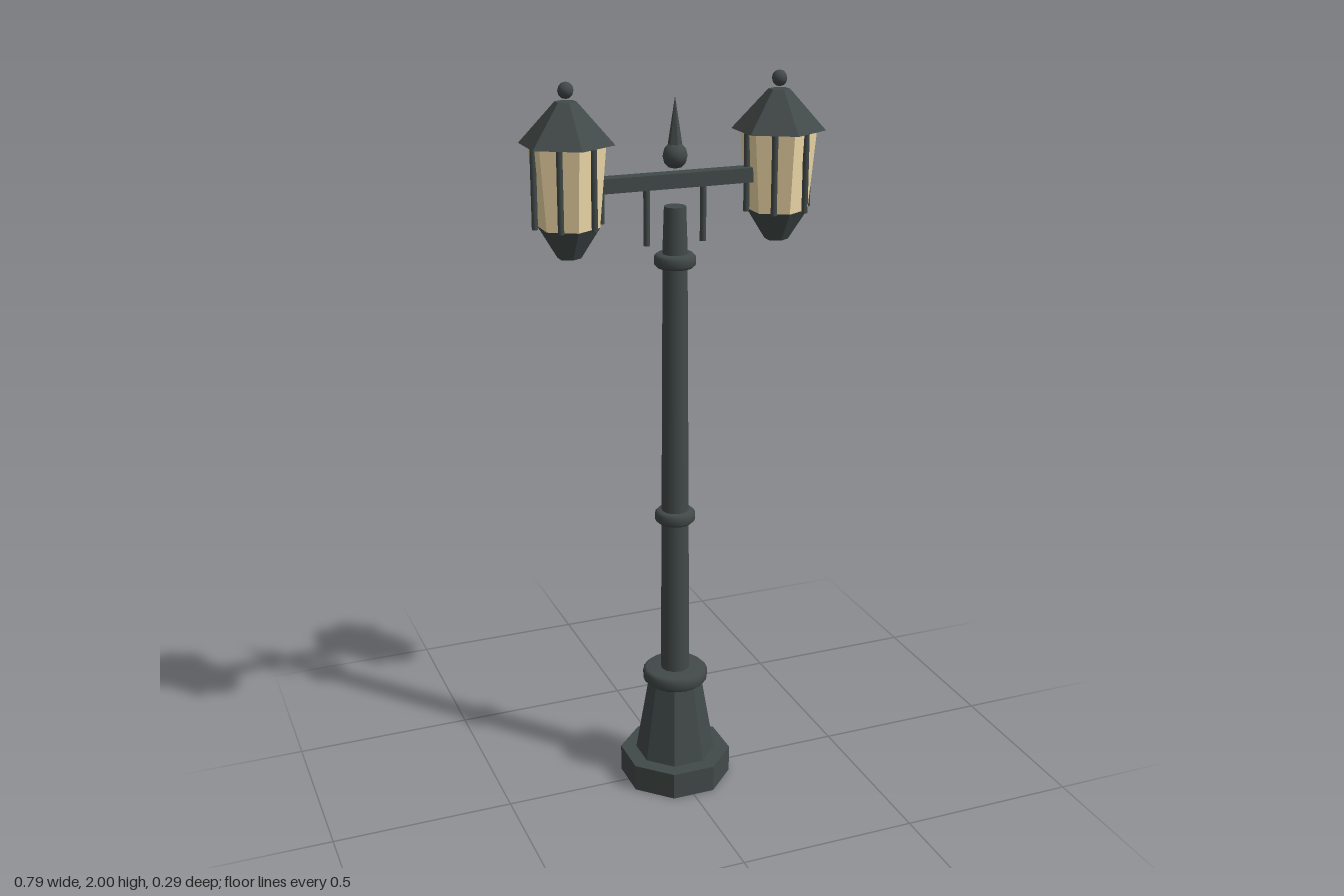
import * as THREE from 'three';

const iron = new THREE.MeshStandardMaterial({ color: 0x424a49 });
const ironFlat = new THREE.MeshStandardMaterial({ color: 0x424a49, flatShading: true });
const glass = new THREE.MeshStandardMaterial({ color: 0xf0d9a8, flatShading: true });

function add(parent, name, geometry, material, x = 0, y = 0, z = 0) {
  const mesh = new THREE.Mesh(geometry, material);
  mesh.name = name;
  mesh.position.set(x, y, z);
  parent.add(mesh);
  return mesh;
}

// Tapered prism or cone standing between two heights
function taper(parent, name, rBottom, rTop, y0, y1, sides, material) {
  const geometry = new THREE.CylinderGeometry(rTop, rBottom, y1 - y0, sides);
  return add(parent, name, geometry, material, 0, (y0 + y1) / 2);
}

// Rounded band around the post
function collar(parent, name, inner, outer, y0, y1) {
  const b = (y1 - y0) * 0.22;
  const points = [
    [inner, y0], [outer - b, y0], [outer, y0 + b],
    [outer, y1 - b], [outer - b, y1], [inner, y1],
  ].map(([r, y]) => new THREE.Vector2(r, y));
  add(parent, name, new THREE.LatheGeometry(points, 20), iron);
}

function createLantern() {
  const lantern = new THREE.Group();
  taper(lantern, 'lanternBottom', 0.031, 0.081, 1.56, 1.64, 6, ironFlat);
  taper(lantern, 'lanternGlass', 0.081, 0.1, 1.64, 1.85, 6, glass);
  taper(lantern, 'lanternRoof', 0.123, 0.028, 1.848, 1.952, 6, ironFlat);
  add(lantern, 'roofBall', new THREE.SphereGeometry(0.021, 8, 6), iron, 0, 1.979);

  // Upright bars in front of the middle of each pane
  for (let i = 0; i < 6; i++) {
    const a = (i * Math.PI) / 3;
    add(lantern, 'lanternBar', new THREE.CylinderGeometry(0.008, 0.008, 0.21, 6), iron,
      Math.cos(a) * 0.088, 1.745, Math.sin(a) * 0.088);
  }
  return lantern;
}

export function createModel() {
  const model = new THREE.Group();
  model.name = 'streetLamp';

  // Octagonal foot and pedestal, flats facing the axes
  const toApex = 1 / Math.cos(Math.PI / 8);
  taper(model, 'foot', 0.145 * toApex, 0.145 * toApex, 0, 0.077, 8, ironFlat).rotation.y = Math.PI / 8;
  taper(model, 'pedestal', 0.104 * toApex, 0.068 * toApex, 0.077, 0.31, 8, ironFlat).rotation.y = Math.PI / 8;

  // Post with its collars
  taper(model, 'post', 0.041, 0.033, 0.3, 1.53, 12, iron);
  taper(model, 'postTop', 0.034, 0.029, 1.53, 1.67, 12, iron);
  collar(model, 'pedestalCollar', 0.035, 0.091, 0.3, 0.342);
  collar(model, 'middleCollar', 0.03, 0.055, 0.79, 0.826);
  collar(model, 'upperCollar', 0.028, 0.055, 1.51, 1.546);

  // Cross arm with two hanging rods
  add(model, 'crossArm', new THREE.BoxGeometry(0.42, 0.038, 0.04), ironFlat, 0, 1.738);
  for (const side of [-1, 1]) {
    add(model, 'hangingRod', new THREE.CylinderGeometry(0.009, 0.009, 0.155, 8), iron, side * 0.078, 1.65);
  }

  // Centre finial
  add(model, 'finialBall', new THREE.SphereGeometry(0.034, 8, 6), iron, 0, 1.8);
  add(model, 'finialSpike', new THREE.ConeGeometry(0.02, 0.13, 6), ironFlat, 0, 1.885);

  // Lanterns
  for (const side of [-1, 1]) {
    const lantern = createLantern();
    lantern.name = side > 0 ? 'leftLantern' : 'rightLantern';
    lantern.position.x = side * 0.288;
    model.add(lantern);
  }
  return model;
}
